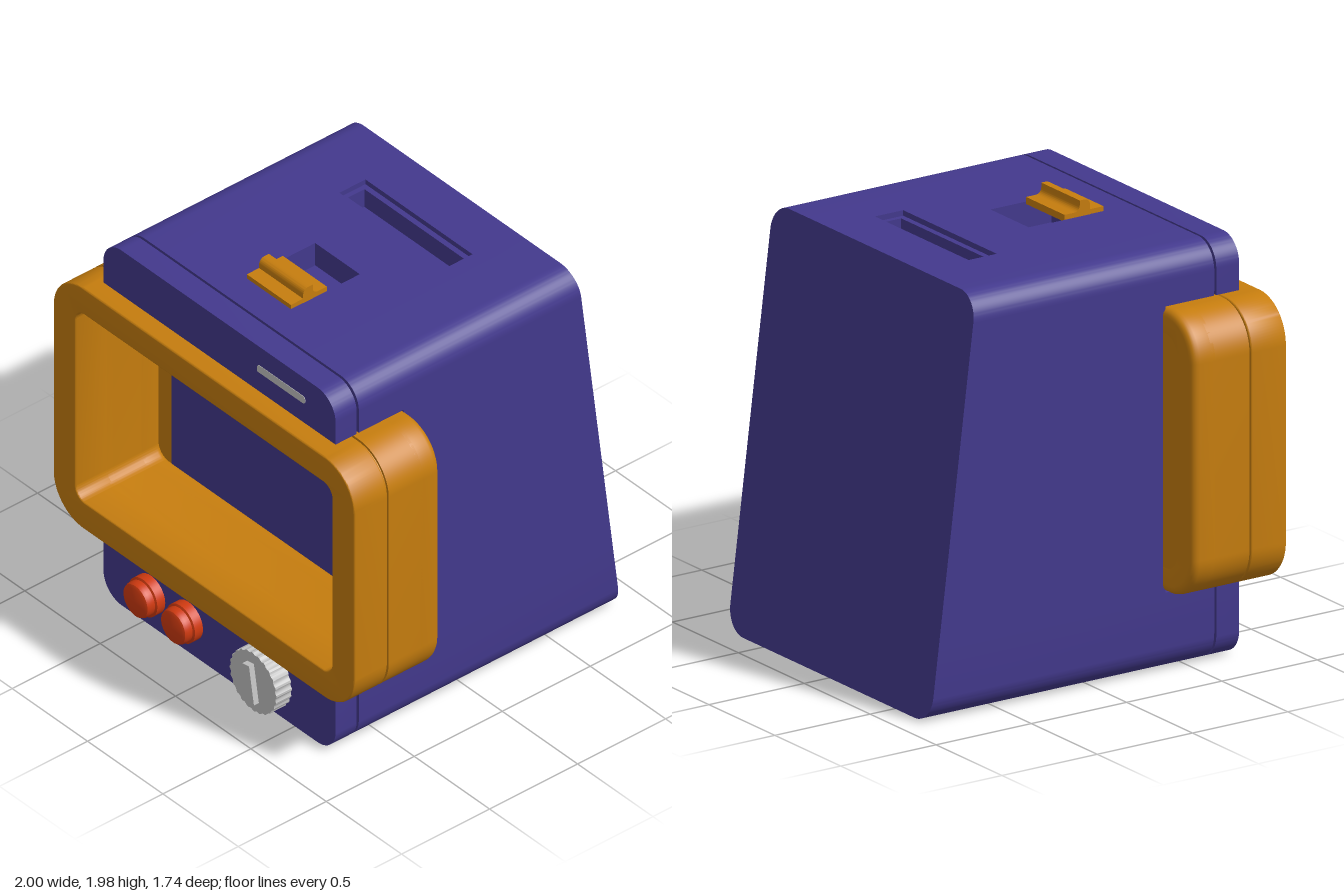
import * as THREE from 'three';
import { toCreasedNormals } from 'three/addons/utils/BufferGeometryUtils.js';

const mat = (name, color) => {
  const m = new THREE.MeshStandardMaterial({ color });
  m.name = name;
  return m;
};

// Rectangle with radii [bottom left, bottom right, top right, top left]
function rect(x0, y0, x1, y1, [bl, br, tr, tl] = [0, 0, 0, 0], out = new THREE.Shape()) {
  const P = Math.PI;
  out.moveTo(x0 + bl, y0);
  out.lineTo(x1 - br, y0);
  if (br) out.absarc(x1 - br, y0 + br, br, -P / 2, 0);
  out.lineTo(x1, y1 - tr);
  if (tr) out.absarc(x1 - tr, y1 - tr, tr, 0, P / 2);
  out.lineTo(x0 + tl, y1);
  if (tl) out.absarc(x0 + tl, y1 - tl, tl, P / 2, P);
  out.lineTo(x0, y0 + bl);
  if (bl) out.absarc(x0 + bl, y0 + bl, bl, P, P * 1.5);
  return out;
}

// Extrusion between two depths, with the bevel kept inside the outline
function extrude(shape, z0, z1, bevel = 0) {
  const g = new THREE.ExtrudeGeometry(shape, {
    depth: z1 - z0 - 2 * bevel, curveSegments: 12, bevelEnabled: bevel > 0,
    bevelThickness: bevel, bevelSize: bevel, bevelOffset: -bevel, bevelSegments: 4,
  });
  return g.translate(0, 0, z0 + bevel);
}

export function createModel() {
  const purple = mat('purple shell', 0x43398d);
  const orange = mat('orange trim', 0xc67d0e);
  const red = mat('red buttons', 0xcf3a10);
  const grey = mat('light grey', 0xc2c2c2);
  const model = new THREE.Group();
  model.name = 'toyTelevision';
  const add = (name, geo, material, parent = model) => {
    const mesh = new THREE.Mesh(toCreasedNormals(geo, 0.6), material);
    mesh.name = name;
    parent.add(mesh);
    return mesh;
  };

  const W = 0.77, H = 1.91, R = 0.12, BACK = -1, SEAM = 0.618, FRONT = 0.75;
  // Moves the rear vertices onto the sloping back
  const slope = (geo) => {
    const p = geo.attributes.position;
    for (let i = 0; i < p.count; i++) {
      if (p.getZ(i) < -0.5) p.setZ(i, -0.87 + (0.24 * p.getY(i)) / H);
    }
    return geo;
  };

  // Body: a C-shaped shell around the screen housing
  const body = new THREE.Group();
  body.name = 'body';
  model.add(body);
  const low = rect(-W, 0, W, 0.365, [R, R, 0, 0]);
  const high = rect(-W, 1.67, W, H, [0, 0, R, R]);
  add('bodyMiddle', slope(extrude(rect(-W, 0.365, W, 1.67), BACK, 0.363)), purple, body);
  add('bodyBottom', slope(extrude(low, BACK, SEAM)), purple, body);
  add('bodyTop', slope(extrude(rect(-W, 1.67, W, H - R), BACK, SEAM)), purple, body);
  for (const s of [-1, 1]) {
    const strip = s > 0 ? rect(0.4, H - R, W, H, [0, 0, R, 0]) : rect(-W, H - R, -0.4, H, [0, 0, 0, R]);
    add('topEdge', slope(extrude(strip, BACK, SEAM)), purple, body);
  }

  // Middle of the top, pierced by the coin slot and the switch track
  const flat = (shape, y0, y1) => extrude(shape, y0, y1).rotateX(-Math.PI / 2);
  const top = rect(-0.4, -SEAM, 0.4, -BACK);
  top.holes.push(rect(-0.355, 0.235, 0.355, 0.383, undefined, new THREE.Path()));
  top.holes.push(rect(-0.148, -0.4, 0.148, -0.08, undefined, new THREE.Path()));
  add('topPanel', slope(flat(top, H - R, H)), purple, body);
  const ledge = rect(-0.355, 0.235, 0.355, 0.383);
  ledge.holes.push(rect(-0.33, 0.263, 0.33, 0.356, undefined, new THREE.Path()));
  add('slotLedge', flat(ledge, H - R, H - 0.025), purple, body);

  // Front panels, separated from the shell by a fine groove
  add('frontPanelBottom', extrude(low, 0.63, FRONT), purple, body);
  add('frontPanelTop', extrude(high, 0.63, FRONT), purple, body);
  add('grooveBottom', extrude(rect(-W + 0.015, 0.015, W - 0.015, 0.35, [R, R, 0, 0]), 0.6, 0.64), purple, body);
  add('grooveTop', extrude(rect(-W + 0.015, 1.685, W - 0.015, H - 0.015, [0, 0, R, R]), 0.6, 0.64), purple, body);

  // Screen housing: two hollow rings and a floor
  const housing = new THREE.Group();
  housing.name = 'screenHousing';
  model.add(housing);
  const ring = (inset) => {
    const r = 0.2 - inset;
    const s = rect(-1 + inset, 0.37 + inset, 1 - inset, 1.665 - inset, [r, r, r, r]);
    const h = 0.06;
    s.holes.push(rect(-0.85, 0.515, 0.85, 1.525, [h, h, h, h], new THREE.Path()));
    return s;
  };
  add('bezel', extrude(ring(0), 0.653, 0.84, 0.008), orange, housing);
  add('housingGroove', extrude(ring(0.012), 0.63, 0.67), orange, housing);
  add('housingSide', extrude(ring(0), 0.45, 0.645), orange, housing);
  add('housingRear', extrude(ring(0), 0.35, 0.5, 0.035), orange, housing);
  add('housingFloor', extrude(rect(-0.91, 0.46, 0.91, 1.58, [0.1, 0.1, 0.1, 0.1]), 0.351, 0.36), orange, housing);

  // Sliding switch: plate with a curved thumb ridge
  const slider = new THREE.Shape();
  slider.moveTo(0.265, 1.9);
  slider.lineTo(0.47, 1.9);
  slider.lineTo(0.47, 1.932);
  slider.lineTo(0.4, 1.932);
  slider.lineTo(0.4, 1.955);
  slider.quadraticCurveTo(0.395, 1.982, 0.365, 1.982);
  slider.lineTo(0.345, 1.982);
  slider.lineTo(0.345, 1.96);
  slider.quadraticCurveTo(0.343, 1.934, 0.315, 1.932);
  slider.lineTo(0.265, 1.932);
  add('slideSwitch', extrude(slider, -0.146, 0.146).rotateY(-Math.PI / 2), orange);

  // Push buttons
  for (const x of [-0.455, -0.205]) {
    const pts = [[0, 0], [0.095, 0], [0.095, 0.045], [0.085, 0.05], [0.085, 0.075], [0.08, 0.088], [0.068, 0.095], [0, 0.095]];
    const geo = new THREE.LatheGeometry(pts.map(([r, y]) => new THREE.Vector2(r, y)), 40);
    add('pushButton', geo.rotateX(Math.PI / 2).translate(x, 0.175, FRONT), red);
  }

  // Ribbed dial with a tilted grip
  const dial = new THREE.Group();
  dial.name = 'dial';
  dial.position.set(0.325, 0.183, FRONT);
  model.add(dial);
  const teeth = [];
  for (let i = 0; i < 96; i++) {
    const a = (i / 96) * Math.PI * 2, r = i % 4 < 2 ? 0.155 : 0.149;
    teeth.push(new THREE.Vector2(r * Math.cos(a), r * Math.sin(a)));
  }
  add('dialKnob', extrude(new THREE.Shape(teeth), 0, 0.088), grey, dial);
  add('dialGrip', new THREE.BoxGeometry(0.045, 0.195, 0.04).translate(0, 0, 0.096), grey, dial).rotation.z = 0.17;

  // Small light strip
  const q = 0.018;
  add('lightStrip', extrude(rect(0.25, 1.772, 0.57, 1.811, [0.005, q, q, q]), FRONT - 0.005, FRONT + 0.002), grey);
  return model;
}
